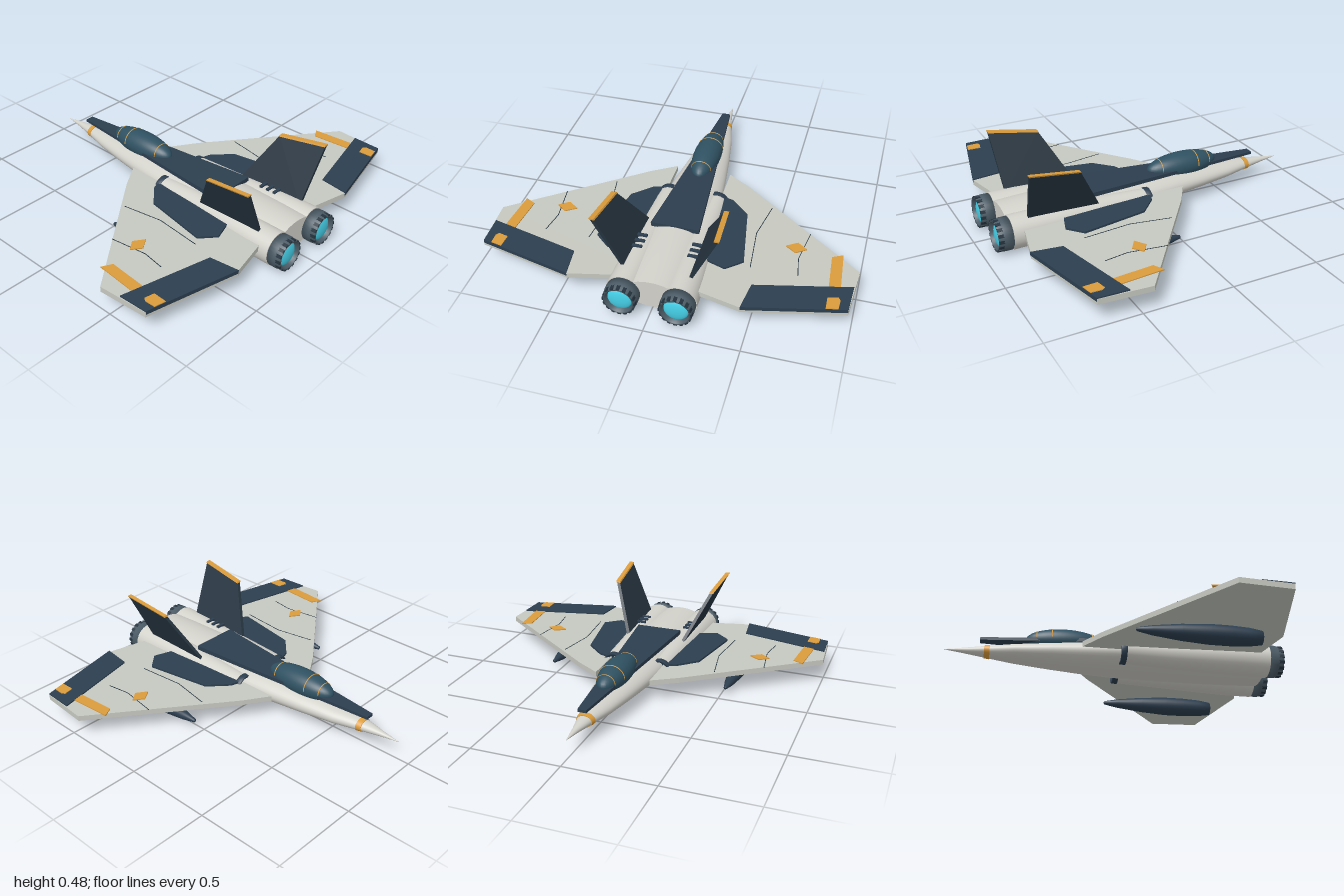
import * as THREE from 'three';

const paint = (color) => new THREE.MeshStandardMaterial({ color });
const HULL = paint(0xd2d1ca), WING = paint(0xc6c9c0), NAVY = paint(0x2c3e4f), FIN = paint(0x263440);
const ORANGE = paint(0xdb9c3c), GLASS = paint(0x2f5162), STEEL = paint(0x4b5b66), GLOW = paint(0x45d0e8);

function add(parent, name, geometry, material, x = 0, y = 0, z = 0) {
  const mesh = new THREE.Mesh(geometry, material);
  mesh.name = name;
  mesh.position.set(x, y, z);
  parent.add(mesh);
  return mesh;
}

// Closed body through elliptical sections [z, centreX, centreY, radiusX, radiusY], z increasing
function loft(sections, sides = 32) {
  const pos = [], index = [];
  const ring = ([z, cx, cy, rx, ry]) => {
    for (let i = 0; i < sides; i++) {
      const a = (i / sides) * Math.PI * 2;
      pos.push(cx + rx * Math.cos(a), cy + ry * Math.sin(a), z);
    }
  };
  sections.forEach(ring);
  for (let k = 0; k < sections.length - 1; k++) {
    for (let i = 0; i < sides; i++) {
      const a = k * sides + i, b = k * sides + ((i + 1) % sides);
      index.push(a, b, b + sides, a, b + sides, a + sides);
    }
  }
  [sections[0], sections[sections.length - 1]].forEach((s, end) => {
    const base = pos.length / 3;
    ring(s);
    for (let i = 1; i < sides - 1; i++) {
      if (end) index.push(base, base + i, base + i + 1);
      else index.push(base, base + i + 1, base + i);
    }
  });
  const g = new THREE.BufferGeometry();
  g.setAttribute('position', new THREE.Float32BufferAttribute(pos, 3));
  g.setIndex(index);
  g.computeVertexNormals();
  return g;
}

const shapeOf = (points, s = 1) => new THREE.Shape(points.map(([x, y]) => new THREE.Vector2(s * x, y)));

// Flat plate from an (x, z) outline, lying between two heights
function plate(points, s, bottom, top) {
  return new THREE.ExtrudeGeometry(shapeOf(points, s), { depth: top - bottom, bevelEnabled: false })
    .rotateX(Math.PI / 2).translate(0, top, 0);
}

// Upright plate from a (z, y) outline, leaning outward as it rises
function leaningPlate(points, s, thickness) {
  const lean = 0.46, x0 = 0.187 - 0.2 * lean;
  return new THREE.ExtrudeGeometry(shapeOf(points), { depth: thickness, bevelEnabled: false })
    .translate(0, 0, -thickness / 2).rotateY(-Math.PI / 2)
    .applyMatrix4(new THREE.Matrix4().set(1, s * lean, 0, s * x0, 0, 1, 0, 0, 0, 0, 1, 0, 0, 0, 0, 1));
}

// Surface of revolution along z from [radius, z] points
const turned = (points, sides = 32) =>
  new THREE.LatheGeometry(points.map(([r, z]) => new THREE.Vector2(r, z)), sides).rotateX(Math.PI / 2);

// Thin seam line following a few (x, z) points
function seam(points) {
  const left = points.map(([x, z]) => [x - 0.002, z]);
  const right = points.map(([x, z]) => [x + 0.002, z]).reverse();
  return [...left, ...right];
}

function buildSide(s, label) {
  const side = new THREE.Group();
  side.name = label;

  // Wing and its painted panels
  add(side, 'wing', plate([[0.16, -0.19], [0.3, -0.1], [1, 0.44], [0.98, 0.725], [0.46, 0.845], [0.2, 0.785], [0.16, 0.7]], s, 0.112, 0.142), WING);
  add(side, 'wingRootPanel', plate([[0.17, 0.03], [0.235, 0.05], [0.34, 0.15], [0.405, 0.525], [0.32, 0.6], [0.17, 0.55]], s, 0.14, 0.153), NAVY);
  add(side, 'flap', plate([[0.48, 0.68], [0.985, 0.56], [0.978, 0.727], [0.458, 0.848]], s, 0.128, 0.149), NAVY);
  add(side, 'wingStripe', plate([[0.843, 0.365], [0.9, 0.335], [0.92, 0.576], [0.86, 0.59]], s, 0.14, 0.147), ORANGE);
  add(side, 'flapMark', plate([[0.865, 0.67], [0.92, 0.658], [0.932, 0.675], [0.93, 0.735], [0.868, 0.748]], s, 0.148, 0.153), ORANGE);
  add(side, 'wingDiamond', plate([[0.593, 0.342], [0.652, 0.302], [0.707, 0.342], [0.652, 0.382]], s, 0.14, 0.148), ORANGE);
  add(side, 'innerSeam', plate(seam([[0.46, 0.05], [0.42, 0.28], [0.445, 0.55]]), s, 0.14, 0.1435), FIN);
  add(side, 'outerSeam', plate(seam([[0.705, 0.21], [0.675, 0.42], [0.695, 0.55]]), s, 0.14, 0.1435), FIN);

  // Engine nacelle with intake lip
  const nacelle = [[0.05, 0.14, 0.065], [0.12, 0.14, 0.069], [0.3, 0.138, 0.078], [0.5, 0.14, 0.088], [0.7, 0.145, 0.094], [0.85, 0.148, 0.094]];
  add(side, 'nacelle', loft(nacelle.map(([z, x, r]) => [z, s * x, 0.104, r, r])), HULL);
  add(side, 'intakeLip', turned([[0, 0.045], [0.05, 0.045], [0.058, 0.02], [0.068, 0.022], [0.07, 0.052], [0.06, 0.055]]), NAVY, s * 0.14, 0.104).material.side = THREE.DoubleSide;

  // Exhaust nozzle: hollow shell, petals and glowing core
  const nozzle = new THREE.Group();
  nozzle.name = 'nozzle';
  nozzle.position.set(s * 0.148, 0.103, 0);
  side.add(nozzle);
  add(nozzle, 'nozzleShell', turned([[0.064, 0.9], [0.074, 0.93], [0.083, 0.93], [0.091, 0.89], [0.09, 0.84], [0, 0.84]]), STEEL).material.side = THREE.DoubleSide;
  for (let i = 0; i < 16; i++) {
    const a = (i / 16) * Math.PI * 2;
    const petal = add(nozzle, 'nozzlePetal', new THREE.BoxGeometry(0.008, 0.018, 0.075), FIN, Math.cos(a) * 0.084, Math.sin(a) * 0.084, 0.893);
    petal.rotation.z = a;
  }
  add(nozzle, 'exhaustGlow', new THREE.SphereGeometry(0.066, 32, 16).scale(1, 1, 0.3), GLOW, 0, 0, 0.905);

  // Tail fin with a bright tip cap
  add(side, 'tailFin', leaningPlate([[0.345, 0.17], [0.5, 0.445], [0.782, 0.485], [0.752, 0.17]], s, 0.02), FIN);
  add(side, 'finTip', leaningPlate([[0.497, 0.44], [0.5, 0.449], [0.784, 0.491], [0.783, 0.482]], s, 0.026), ORANGE);

  // Cooling vents
  for (let i = 0; i < 3; i++) {
    add(side, 'vent', new THREE.BoxGeometry(0.056, 0.018, 0.018), NAVY, s * 0.152, 0.193, 0.515 + i * 0.045);
  }

  // Underwing pod
  add(side, 'pod', turned([[0, 0.035], [0.01, 0.04], [0.026, 0.12], [0.044, 0.27], [0.054, 0.42], [0.054, 0.53], [0.049, 0.63], [0.038, 0.7], [0, 0.705]].reverse()), NAVY, s * 0.53, 0.06)
    .material.side = THREE.DoubleSide;
  return side;
}

export function createModel() {
  const model = new THREE.Group();
  model.name = 'jet';

  // Fuselage and nose
  add(model, 'fuselage', loft([
    [-0.93, 0, 0.113, 0.001, 0.001], [-0.82, 0, 0.113, 0.018, 0.016], [-0.7, 0, 0.113, 0.044, 0.032],
    [-0.55, 0, 0.112, 0.082, 0.048], [-0.35, 0, 0.112, 0.115, 0.064], [-0.15, 0, 0.112, 0.142, 0.077],
    [0, 0, 0.112, 0.158, 0.083], [0.2, 0, 0.113, 0.165, 0.088], [0.45, 0, 0.114, 0.165, 0.091],
    [0.7, 0, 0.114, 0.16, 0.088], [0.85, 0, 0.114, 0.15, 0.083],
  ], 40), HULL);
  add(model, 'noseBand', loft([[-0.715, 0, 0.113, 0.044, 0.034], [-0.685, 0, 0.113, 0.051, 0.037]], 40), ORANGE);

  // Dark spine plate, tilted slightly up toward the tail
  const spine = plate([[-0.024, -0.74], [0.024, -0.74], [0.095, 0], [0.135, 0.42], [-0.135, 0.42], [-0.095, 0]], 1, 0, 0.026);
  const p = spine.attributes.position;
  for (let i = 0; i < p.count; i++) {
    const t = (p.getZ(i) + 0.74) / 1.16;
    p.setY(i, 0.174 + 0.012 * t + p.getY(i) * (0.6 + 0.4 * t));
  }
  spine.computeVertexNormals();
  add(model, 'spine', spine, NAVY);

  // Canopy with hoop frames
  const cz = -0.268, cy = 0.2, rx = 0.08, ry = 0.075, rz = 0.222;
  add(model, 'canopy', new THREE.SphereGeometry(1, 40, 24).scale(rx, ry * 0.99, rz), GLASS, 0, cy, cz);
  for (const z of [-0.43, -0.345, -0.12]) {
    const k = Math.sqrt(1 - ((z - cz) / rz) ** 2);
    add(model, 'canopyFrame', new THREE.TorusGeometry(1, 0.03, 6, 40, Math.PI).scale(rx * k, ry * k, 0.1), ORANGE, 0, cy, z);
  }

  model.add(buildSide(1, 'leftSide'), buildSide(-1, 'rightSide'));
  return model;
}
